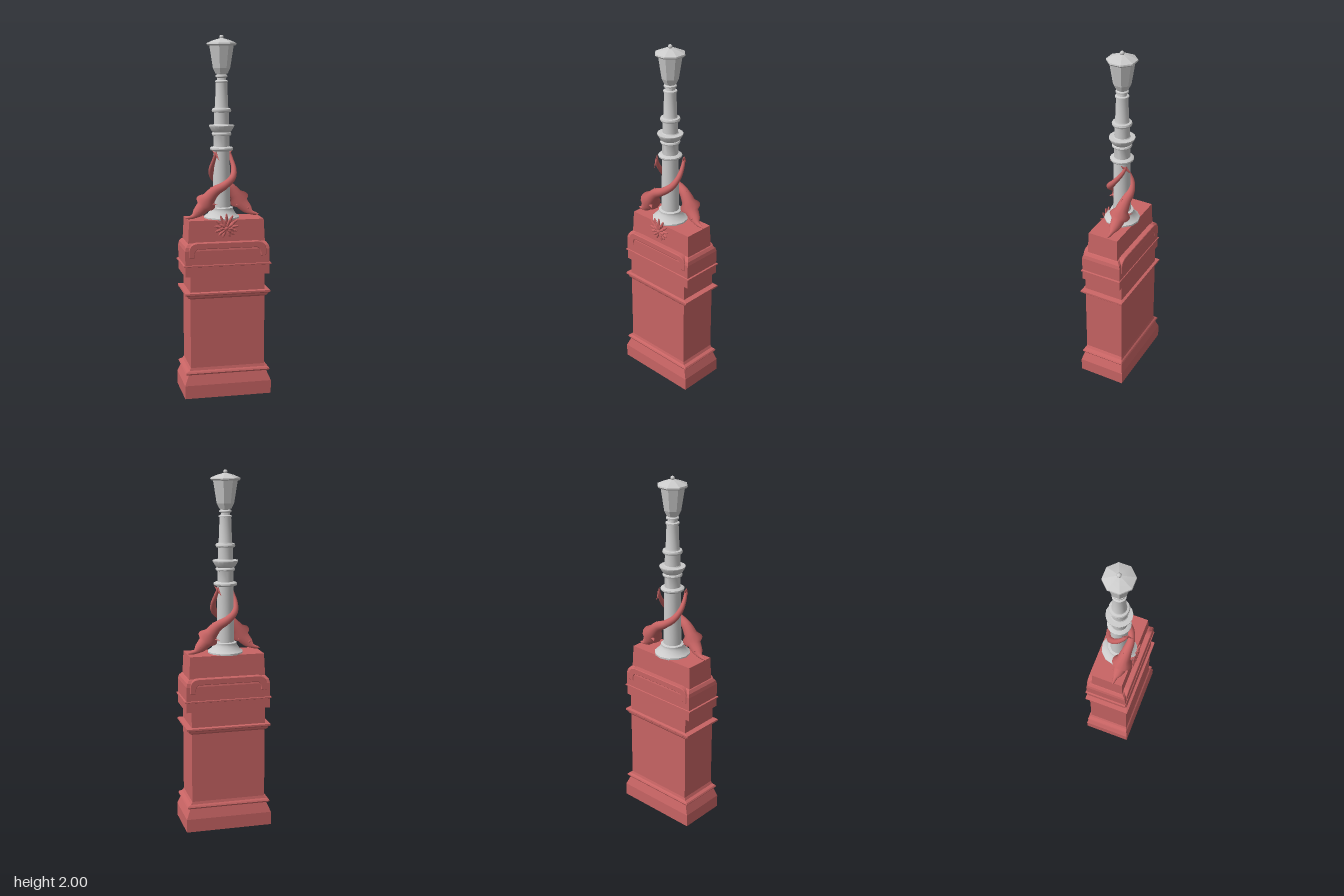
import * as THREE from 'three';
import { toCreasedNormals } from 'three/addons/utils/BufferGeometryUtils.js';

const red = new THREE.MeshStandardMaterial({ color: 0xc86464 });
const redFlat = new THREE.MeshStandardMaterial({ color: 0xc86464, flatShading: true });
const grey = new THREE.MeshStandardMaterial({ color: 0xcccccc });
const V = (x, y, z) => new THREE.Vector3(x, y, z);

function add(parent, name, geometry, material) {
  const mesh = new THREE.Mesh(geometry, material);
  mesh.name = name;
  parent.add(mesh);
  return mesh;
}

// Stack of rectangular sections [half width, half depth, height], closed at both ends
function rectLoft(sections) {
  const pos = [];
  const rings = sections.map(([a, b, y]) => [V(-a, y, b), V(a, y, b), V(a, y, -b), V(-a, y, -b)]);
  const quad = (a, b, c, d) => [a, b, c, a, c, d].forEach(p => pos.push(p.x, p.y, p.z));
  for (let i = 0; i < rings.length - 1; i++) {
    for (let k = 0; k < 4; k++) {
      const n = (k + 1) % 4;
      quad(rings[i][k], rings[i][n], rings[i + 1][n], rings[i + 1][k]);
    }
  }
  const lo = rings[0], hi = rings[rings.length - 1];
  quad(lo[3], lo[2], lo[1], lo[0]);
  quad(hi[0], hi[1], hi[2], hi[3]);
  const g = new THREE.BufferGeometry();
  g.setAttribute('position', new THREE.Float32BufferAttribute(pos, 3));
  g.computeVertexNormals();
  return g;
}

function lathe(profile, sides, crease, phi = 0) {
  const g = new THREE.LatheGeometry(profile.map(p => new THREE.Vector2(...p)), sides, phi);
  return toCreasedNormals(g, crease);
}

// Flattened cone from base to tip; thin along the given direction
function fin(parent, name, base, tip, width, thickness, thinDir) {
  const dir = tip.clone().sub(base), len = dir.length();
  const y = dir.normalize();
  const x = V(0, 0, 0).crossVectors(y, thinDir).normalize();
  const z = V(0, 0, 0).crossVectors(x, y);
  const g = new THREE.ConeGeometry(1, 1, 10, 3);
  g.scale(width, len, thickness);
  g.applyMatrix4(new THREE.Matrix4().makeBasis(x, y, z));
  const mid = base.clone().add(tip).multiplyScalar(0.5);
  g.translate(mid.x, mid.y, mid.z);
  return add(parent, name, g, red);
}

// Fish with its snout on the pedestal and its tail wound round the column
function makeDolphin() {
  const d = new THREE.Group();
  d.name = 'dolphin';
  const spine = [ // x, y, z, radius
    [-0.222, 1.005, 0.036, 0.001], [-0.205, 1.008, 0.037, 0.008], [-0.178, 1.016, 0.039, 0.013],
    [-0.155, 1.037, 0.044, 0.029], [-0.125, 1.07, 0.05, 0.037], [-0.095, 1.115, 0.055, 0.037],
    [-0.06, 1.155, 0.06, 0.029], [-0.005, 1.187, 0.063, 0.022], [0.042, 1.225, 0.042, 0.019],
    [0.058, 1.27, 0.005, 0.015], [0.053, 1.32, -0.032, 0.011], [0.045, 1.36, -0.052, 0.008],
    [0.044, 1.375, -0.056, 0.001]];
  const curve = new THREE.CatmullRomCurve3(spine.map(p => V(p[0], p[1], p[2])));
  const radius = new THREE.CatmullRomCurve3(spine.map(p => V(p[3], 0, 0)));
  const n = 72, m = 14;
  const g = new THREE.TubeGeometry(curve, n, 1, m);
  const pos = g.attributes.position, v = V(0, 0, 0);
  for (let i = 0; i <= n; i++) {
    const c = curve.getPointAt(i / n);
    const r = Math.max(0.0005, radius.getPoint(curve.getUtoTmapping(i / n)).x);
    for (let j = 0; j <= m; j++) {
      const k = i * (m + 1) + j;
      v.fromBufferAttribute(pos, k).sub(c).multiplyScalar(r).add(c);
      pos.setXYZ(k, v.x, v.y, v.z);
    }
  }
  add(d, 'body', g, red);
  fin(d, 'dorsalFin', V(-0.098, 1.13, 0.056), V(-0.078, 1.182, 0.05), 0.02, 0.007, V(0, 0, 1));
  fin(d, 'sideFin', V(-0.1, 1.09, 0.07), V(-0.05, 1.085, 0.104), 0.02, 0.007, V(0, 1, 0));
  fin(d, 'innerFin', V(-0.1, 1.08, 0.035), V(-0.085, 1.065, 0.0), 0.018, 0.007, V(0, 1, 0));
  fin(d, 'tailFluke', V(0.044, 1.36, -0.05), V(0.032, 1.325, -0.085), 0.013, 0.006, V(1, 0, 0));
  fin(d, 'tailFluke', V(0.044, 1.355, -0.05), V(0.062, 1.38, -0.03), 0.013, 0.006, V(1, 0, 0));
  for (const s of [-1, 1]) {
    const eye = add(d, 'eye', new THREE.SphereGeometry(0.006, 8, 6), red);
    eye.position.set(-0.155, 1.046, 0.044 + s * 0.026);
  }
  return d;
}

export function createModel() {
  const model = new THREE.Group();
  model.name = 'pedestalLamp';

  // Pedestal
  const pedestal = new THREE.Group();
  pedestal.name = 'pedestal';
  model.add(pedestal);
  add(pedestal, 'plinth', rectLoft([
    [0.246, 0.137, 0], [0.246, 0.137, 0.075], [0.222, 0.122, 0.132], [0.235, 0.128, 0.134],
    [0.24, 0.132, 0.142], [0.235, 0.128, 0.15], [0.218, 0.121, 0.157], [0.21, 0.117, 0.172]]), red);
  add(pedestal, 'shaft', rectLoft([[0.21, 0.117, 0.17], [0.21, 0.117, 0.7]]), red);
  add(pedestal, 'beltMoulding', rectLoft([
    [0.21, 0.117, 0.566], [0.224, 0.123, 0.574], [0.228, 0.125, 0.584], [0.24, 0.132, 0.59],
    [0.24, 0.132, 0.6], [0.21, 0.117, 0.604]]), red);
  add(pedestal, 'cornice', rectLoft([
    [0.238, 0.118, 0.692], [0.238, 0.118, 0.745], [0.247, 0.122, 0.747], [0.247, 0.122, 0.754],
    [0.238, 0.118, 0.756], [0.238, 0.118, 0.835], [0.233, 0.113, 0.855], [0.222, 0.1, 0.87],
    [0.215, 0.092, 0.874]]), red);
  add(pedestal, 'topBlock', rectLoft([[0.217, 0.092, 0.87], [0.21, 0.088, 0.998]]), red);

  // Arched trim on the front and back of the cornice
  const arch = new THREE.Shape();
  arch.moveTo(-0.215, 0.8);
  arch.lineTo(-0.215, 0.835);
  arch.quadraticCurveTo(-0.21, 0.876, -0.165, 0.876);
  arch.lineTo(0.165, 0.876);
  arch.quadraticCurveTo(0.21, 0.876, 0.215, 0.835);
  arch.lineTo(0.215, 0.8);
  arch.lineTo(0.19, 0.8);
  arch.quadraticCurveTo(0.19, 0.848, 0.16, 0.848);
  arch.lineTo(-0.16, 0.848);
  arch.quadraticCurveTo(-0.19, 0.848, -0.19, 0.8);
  for (const turn of [0, Math.PI]) {
    const g = new THREE.ExtrudeGeometry(arch, {
      depth: 0.028, bevelEnabled: true, bevelSize: 0.003, bevelThickness: 0.003, bevelSegments: 1 });
    g.translate(0, 0, 0.091);
    add(pedestal, 'archTrim', g, red).rotation.y = turn;
  }

  // Leaf ornament on the front of the top block
  const leaves = new THREE.Group();
  leaves.name = 'leafOrnament';
  leaves.position.set(-0.003, 0.952, 0.09);
  model.add(leaves);
  const leafRow = (count, spread, length, width, z) => {
    for (let i = 0; i < count; i++) {
      const a = spread * (2 * i / (count - 1) - 1);
      const len = length * (0.82 + 0.18 * Math.cos(a));
      const g = new THREE.SphereGeometry(1, 8, 6);
      g.scale(width, len / 2, 0.007);
      g.translate(0, len / 2, 0);
      g.rotateX(0.08);
      g.rotateZ(-a);
      add(leaves, 'leaf', g, redFlat).position.z = z;
    }
  };
  leafRow(13, 2.75, 0.084, 0.0085, 0.001);
  leafRow(8, 2.3, 0.052, 0.0085, 0.006);
  const boss = add(leaves, 'boss', new THREE.SphereGeometry(0.012, 10, 8), red);
  boss.position.z = 0.006;

  // Lamp post
  const lamp = new THREE.Group();
  lamp.name = 'lampPost';
  lamp.position.set(-0.01, 0, -0.002);
  model.add(lamp);
  add(lamp, 'baseSkirt', lathe([
    [0, 0.996], [0.1, 0.996], [0.1, 1.006], [0.082, 1.018], [0.07, 1.036], [0.065, 1.046],
    [0.065, 1.056], [0.05, 1.06]], 12, 0.6), grey);
  add(lamp, 'column', lathe([
    [0.05, 1.04], [0.045, 1.37], [0.06, 1.374], [0.065, 1.38], [0.065, 1.388], [0.058, 1.393],
    [0.044, 1.396], [0.044, 1.455], [0.052, 1.457], [0.055, 1.464], [0.052, 1.471], [0.047, 1.474],
    [0.053, 1.478], [0.06, 1.488], [0.071, 1.508], [0.071, 1.513], [0.046, 1.515],
    [0.042, 1.52], [0.041, 1.582], [0.052, 1.585], [0.055, 1.594], [0.052, 1.603], [0.04, 1.606],
    [0.037, 1.615], [0.032, 1.745], [0.037, 1.747], [0.037, 1.754], [0.026, 1.758], [0.024, 1.77],
    [0.034, 1.774], [0.034, 1.782], [0.026, 1.787], [0.03, 1.796]], 16, 0.6), grey);
  add(lamp, 'lantern', lathe([
    [0, 1.79], [0.034, 1.792], [0.048, 1.822], [0.068, 1.946], [0, 1.946]], 8, 0.2, Math.PI / 8), grey);
  add(lamp, 'lanternCap', lathe([
    [0, 1.942], [0.075, 1.942], [0.083, 1.95], [0.081, 1.957], [0.045, 1.972], [0.012, 1.981],
    [0, 1.983]], 8, 0.2, Math.PI / 8), grey);
  add(lamp, 'finial', new THREE.SphereGeometry(0.012, 12, 8), grey).position.y = 1.988;

  // Two dolphins, half a turn apart
  model.add(makeDolphin());
  const second = makeDolphin();
  second.rotation.y = Math.PI;
  second.position.set(-0.01, 0, 0.006);
  model.add(second);

  return model;
}
